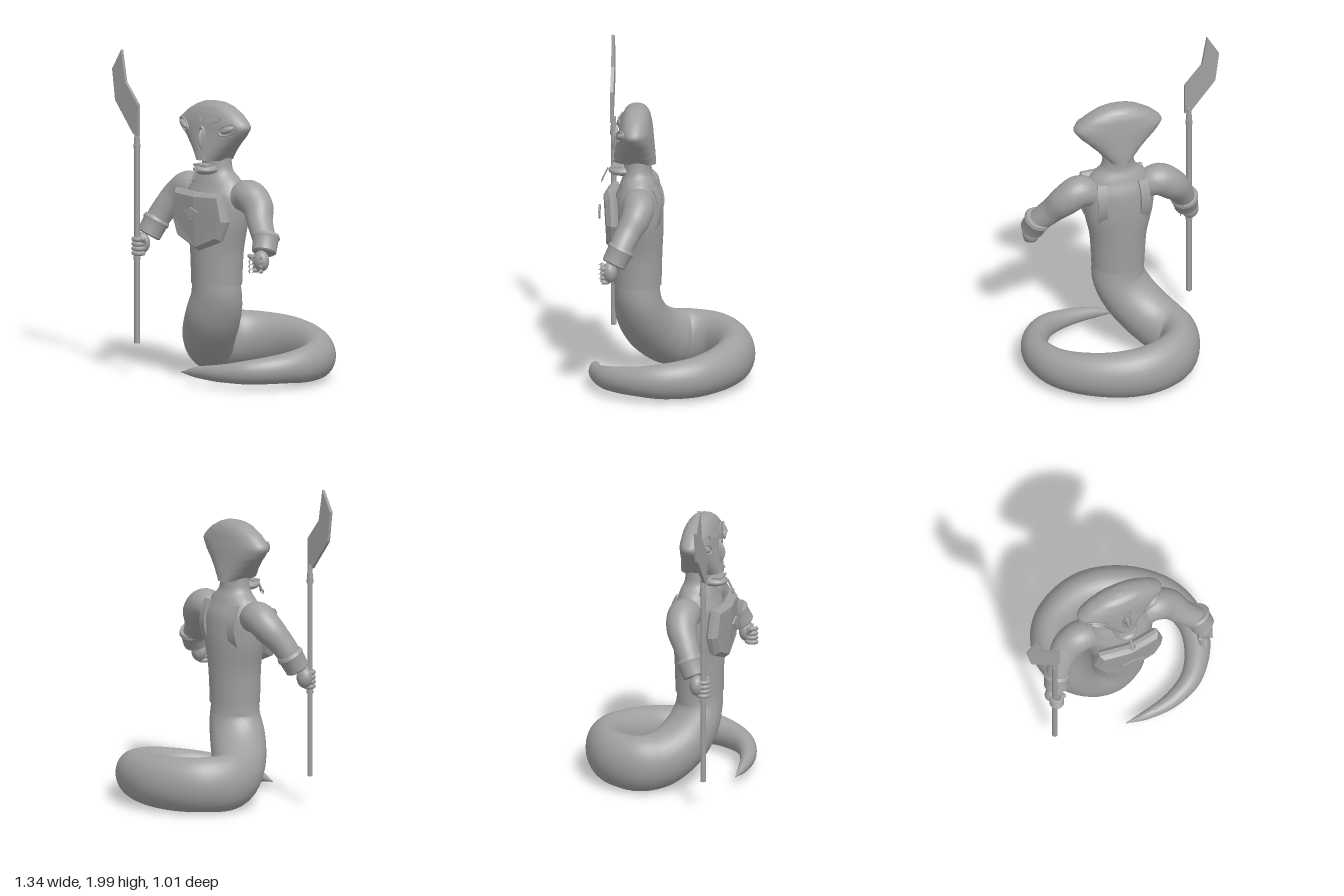
import * as THREE from 'three';
import { toCreasedNormals } from 'three/addons/utils/BufferGeometryUtils.js';

const CX = 0.02; // symmetry plane of the upper body
const V = (x, y, z) => new THREE.Vector3(x, y, z);

// Sweep an oval along [x, y, z, sideRadius, otherRadius] stations, with capped ends.
// p < 1 makes the section boxier.
function sweep(st, steps = 6, sides = 28, p = 1) {
  const path = new THREE.CatmullRomCurve3(st.map(s => V(s[0], s[1], s[2])));
  const radii = new THREE.CatmullRomCurve3(st.map(s => V(s[3], s[4], 0)), false, 'catmullrom', 0.4);
  const n = (st.length - 1) * steps, pos = [], idx = [], up = V(0, 1, 0);
  const pw = v => Math.sign(v) * Math.pow(Math.abs(v), p);
  for (let i = 0; i <= n; i++) {
    const c = path.getPoint(i / n), t = path.getTangent(i / n), r = radii.getPoint(i / n);
    const u = t.clone().cross(up).add(V(t.y * t.y, 0, 0));
    u.addScaledVector(t, -u.dot(t)).normalize();
    const w = t.clone().cross(u);
    for (let j = 0; j < sides; j++) {
      const a = j / sides * Math.PI * 2;
      const q = c.clone().addScaledVector(u, pw(Math.cos(a)) * Math.max(r.x, 0.001))
        .addScaledVector(w, pw(Math.sin(a)) * Math.max(r.y, 0.001));
      pos.push(q.x, q.y, q.z);
    }
  }
  const first = pos.length / 3, s0 = st[0], s1 = st[st.length - 1];
  pos.push(s0[0], s0[1], s0[2], s1[0], s1[1], s1[2]);
  for (let j = 0; j < sides; j++) {
    const k = (j + 1) % sides, e = n * sides;
    for (let i = 0; i < n; i++) {
      const a = i * sides + j, b = i * sides + k;
      idx.push(a, b, b + sides, a, b + sides, a + sides);
    }
    idx.push(first, k, j, first + 1, e + j, e + k);
  }
  const g = new THREE.BufferGeometry();
  g.setAttribute('position', new THREE.Float32BufferAttribute(pos, 3));
  g.setIndex(idx);
  return toCreasedNormals(g, 0.8);
}

// Flat polygon with thickness
function plate(pts, depth, bevel) {
  const shape = new THREE.Shape(pts.map(q => new THREE.Vector2(q[0], q[1])));
  return new THREE.ExtrudeGeometry(shape, { depth, bevelEnabled: !!bevel, bevelSegments: 1, ...bevel });
}

export function createModel() {
  const model = new THREE.Group();
  const grey = new THREE.MeshStandardMaterial({ color: 0xa0a0a0 });
  grey.name = 'stone grey';
  const add = (name, geo, x = 0, y = 0, z = 0) => {
    const m = new THREE.Mesh(geo, grey);
    m.name = name;
    m.position.set(x, y, z);
    model.add(m);
    return m;
  };

  // Coiled tail, from waist to tip
  add('tail', sweep([
    [0.02, 0.64, 0.215, 0.16, 0.135], [0.015, 0.5, 0.21, 0.165, 0.143],
    [-0.04, 0.38, 0.185, 0.17, 0.155], [-0.13, 0.27, 0.12, 0.165, 0.165],
    [-0.22, 0.2, 0.02, 0.15, 0.175], [-0.275, 0.185, -0.09, 0.125, 0.175],
    [-0.23, 0.185, -0.25, 0.12, 0.17], [-0.1, 0.18, -0.35, 0.12, 0.165],
    [0.08, 0.175, -0.39, 0.12, 0.155], [0.3, 0.165, -0.335, 0.115, 0.14],
    [0.5, 0.15, -0.18, 0.105, 0.125], [0.58, 0.14, 0.02, 0.09, 0.11],
    [0.55, 0.13, 0.2, 0.08, 0.09], [0.44, 0.115, 0.36, 0.065, 0.075],
    [0.28, 0.1, 0.44, 0.05, 0.055], [0.1, 0.09, 0.465, 0.03, 0.035],
    [-0.04, 0.075, 0.46, 0.003, 0.003]]));

  // Torso and neck
  add('torso', sweep([
    [CX, 0.6, 0.212, 0.163, 0.147], [CX, 0.8, 0.21, 0.175, 0.15],
    [CX, 1.0, 0.205, 0.215, 0.153], [CX, 1.15, 0.205, 0.22, 0.142],
    [CX, 1.24, 0.207, 0.175, 0.11], [CX, 1.31, 0.21, 0.105, 0.087],
    [CX, 1.42, 0.21, 0.09, 0.085]]));

  // Hooded head
  add('head', sweep([
    [CX, 1.37, 0.23, 0.08, 0.133], [CX, 1.43, 0.227, 0.135, 0.125],
    [CX, 1.48, 0.225, 0.185, 0.117], [CX, 1.545, 0.222, 0.25, 0.107],
    [CX, 1.595, 0.222, 0.277, 0.1], [CX, 1.655, 0.22, 0.22, 0.088],
    [CX, 1.7, 0.22, 0.145, 0.068], [CX, 1.722, 0.22, 0.085, 0.042],
    [CX, 1.732, 0.22, 0.002, 0.002]], 4, 40, 0.88));

  // Face
  for (const s of [-1, 1]) {
    const eye = add('eye', new THREE.SphereGeometry(1, 20, 12), CX + s * 0.183, 1.577, 0.308);
    eye.scale.set(0.045, 0.02, 0.022);
    eye.rotation.set(0, s * 0.4, s * 0.4);
    const lid = add('eyelid', new THREE.TorusGeometry(1, 0.14, 8, 28), CX + s * 0.183, 1.577, 0.308);
    lid.scale.set(0.062, 0.031, 0.05);
    lid.rotation.set(0, s * 0.4, s * 0.4);
    const brow = add('brow', plate([[-0.055, -0.018], [0.045, -0.008], [0.055, 0.022], [-0.05, 0.01]]
      .map(q => [q[0] * s, q[1]]).slice()[s > 0 ? 'slice' : 'reverse'](), 0.01), CX + s * 0.075, 1.628, 0.318);
    brow.rotation.set(-0.25, s * 0.15, 0);
    const nostril = add('nostril', new THREE.ConeGeometry(0.011, 0.022, 3), CX + s * 0.037, 1.4, 0.355);
    nostril.rotation.y = Math.PI / 6;
  }
  const nose = add('faceCrest', new THREE.SphereGeometry(1, 16, 16), CX, 1.505, 0.34);
  nose.scale.set(0.013, 0.062, 0.035);
  const crestRim = add('faceCrestRim', new THREE.TorusGeometry(1, 0.13, 8, 28), CX, 1.505, 0.342);
  crestRim.scale.set(0.026, 0.075, 0.08);

  // Lower jaw and forked tongue
  const jaw = add('lowerJaw', new THREE.SphereGeometry(1, 24, 12), CX, 1.318, 0.305);
  jaw.scale.set(0.075, 0.033, 0.085);
  add('lowerLip', new THREE.BoxGeometry(0.11, 0.012, 0.06), CX, 1.345, 0.335);
  const tongue = add('tongue', new THREE.BoxGeometry(0.014, 0.075, 0.008), CX, 1.295, 0.408);
  tongue.rotation.x = -0.45;
  for (const s of [-1, 1]) {
    const fork = add('tongueFork', new THREE.ConeGeometry(0.006, 0.04, 6), CX + s * 0.009, 1.25, 0.428);
    fork.rotation.set(Math.PI - 0.3, 0, s * 0.45);
  }

  // Chest plate, swept back at the sides and bottom
  const chest = plate([[-0.18, 0.15], [-0.21, 0], [-0.165, -0.11], [0, -0.18],
    [0.165, -0.11], [0.21, 0], [0.18, 0.15], [0, 0.145]], 0.025,
    { bevelThickness: 0.025, bevelSize: 0.024, bevelOffset: -0.006 });
  const cp = chest.attributes.position;
  for (let i = 0; i < cp.count; i++) {
    const x = cp.getX(i), y = cp.getY(i);
    cp.setZ(i, cp.getZ(i) - 0.7 * x * x - (y < 0 ? 0.6 * y * y : 0));
  }
  chest.computeVertexNormals();
  add('chestPlate', chest, CX, 1.02, 0.37);
  add('chestOrnament', plate([[-0.068, 0.005], [-0.02, -0.012], [-0.008, -0.05], [0, -0.06],
    [0.008, -0.05], [0.02, -0.012], [0.068, 0.005], [0, 0.032]], 0.012), CX, 1.065, 0.438);

  // Curved straps on the back
  for (const s of [-1, 1]) {
    const strap = new THREE.BoxGeometry(0.06, 0.27, 0.016, 1, 10, 1);
    const sp = strap.attributes.position;
    for (let i = 0; i < sp.count; i++) sp.setZ(i, sp.getZ(i) + 2.2 * sp.getY(i) ** 2);
    strap.computeVertexNormals();
    const m = add('backStrap', strap, CX + s * 0.135, 1.1, 0.068);
    m.rotation.y = s * -0.2;
  }

  // Arms, cuffs and fists
  for (const s of [-1, 1]) {
    const X = d => CX + s * d;
    const hx = s < 0 ? -0.478 : 0.53, wx = s < 0 ? -0.43 : 0.515;
    add('arm', sweep([
      [X(0.15), 1.13, 0.2, 0.08, 0.08], [X(0.25), 1.165, 0.19, 0.098, 0.1],
      [X(0.335), 1.11, 0.2, 0.092, 0.097], [X(0.405), 1.02, 0.25, 0.078, 0.078],
      [wx, 0.92, 0.3, 0.07, 0.07]]));
    const cuffTop = V(wx - s * 0.01, 0.955, 0.28), cuffEnd = V(wx + s * 0.015, 0.865, 0.325);
    const axis = cuffEnd.clone().sub(cuffTop);
    const turn = new THREE.Quaternion().setFromUnitVectors(V(0, 1, 0), axis.clone().normalize());
    const len = axis.length();
    const profile = [[0.055, -0.01], [0.078, -0.01], [0.086, 0.01], [0.078, 0.03], [0.075, len],
      [0.065, len + 0.008], [0.001, len - 0.015]].map(q => new THREE.Vector2(q[0], q[1])).reverse();
    profile.reverse();
    const cuff = add('cuff', toCreasedNormals(new THREE.LatheGeometry(profile, 28), 0.7));
    cuff.position.copy(cuffTop);
    cuff.quaternion.copy(turn);
    const palm = add('palm', new THREE.SphereGeometry(1, 20, 14), hx, 0.812, 0.35);
    palm.scale.set(0.053, 0.065, 0.045);
    for (let i = 0; i < 4; i++) {
      const finger = add('finger', new THREE.TorusGeometry(0.032, 0.014, 8, 16, Math.PI * 1.5),
        hx - s * 0.008, 0.84 - i * 0.029, 0.388);
      finger.rotation.set(-Math.PI / 2, 0, s < 0 ? Math.PI * 0.6 : -0.2);
    }
    const thumb = add('thumb', new THREE.CapsuleGeometry(0.014, 0.04, 4, 10), hx - s * 0.045, 0.83, 0.385);
    thumb.rotation.set(0.8, 0, s * 0.3);
  }

  // Polearm: shaft, collars and angled blade
  const px = -0.483, pz = 0.39;
  add('shaft', new THREE.CylinderGeometry(0.017, 0.017, 1.25, 14), px, 0.82, pz);
  add('socket', new THREE.CylinderGeometry(0.014, 0.02, 0.1, 14), px, 1.46, pz);
  add('collar', new THREE.CylinderGeometry(0.022, 0.022, 0.025, 14), px, 1.41, pz);
  add('collar', new THREE.CylinderGeometry(0.022, 0.022, 0.02, 14), px, 0.72, pz);
  add('blade', plate([[-0.6, 1.995], [-0.675, 1.87], [-0.65, 1.68], [-0.5, 1.49],
    [-0.457, 1.475], [-0.457, 1.67], [-0.565, 1.8]], 0.02), 0, 0, 0.39);

  return model;
}
